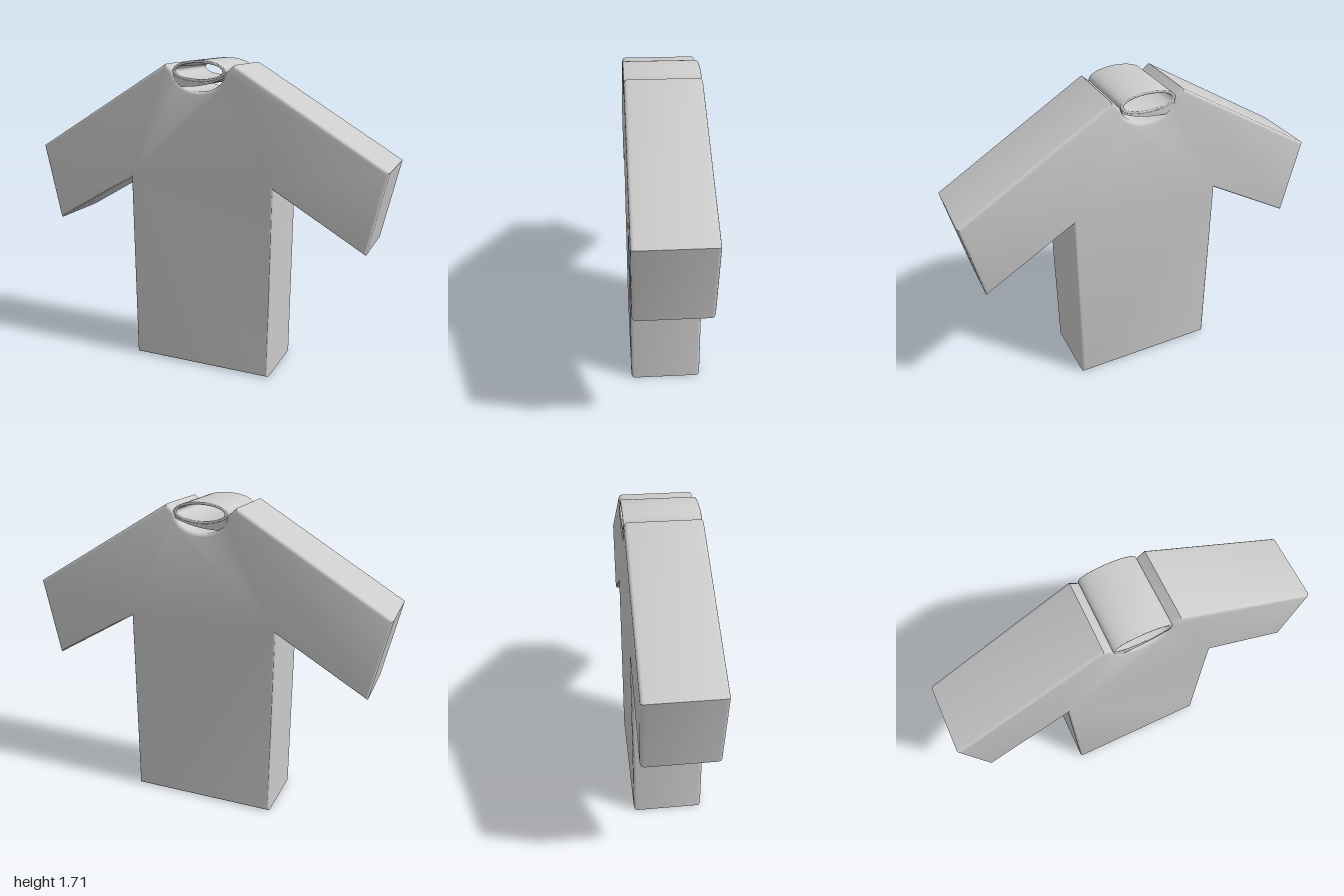
import * as THREE from 'three';
import { toCreasedNormals } from 'three/addons/utils/BufferGeometryUtils.js';

const DEPTH = 0.39;
const material = new THREE.MeshStandardMaterial({ color: 0xcccccc, side: THREE.DoubleSide });

// Extrude a front outline along z, rounding its rims inward
function slab(name, shape, bevel, depth = DEPTH) {
  const core = depth - 2 * bevel;
  const geometry = new THREE.ExtrudeGeometry(shape, {
    depth: core,
    curveSegments: 32,
    bevelEnabled: bevel > 0,
    bevelThickness: bevel,
    bevelSize: bevel,
    bevelOffset: -bevel,
    bevelSegments: 3,
  });
  geometry.translate(0, 0, -core / 2);
  const mesh = new THREE.Mesh(toCreasedNormals(geometry, 0.6), material);
  mesh.name = name;
  return mesh;
}

export function createModel() {
  const group = new THREE.Group();
  group.name = 'shirt';

  // Torso and sleeves in one outline, with a scooped neckline
  const body = new THREE.Shape();
  body.moveTo(-0.41, 0);
  body.lineTo(0.41, 0);
  body.lineTo(0.418, 1.062);
  body.lineTo(0.908, 0.775);
  body.lineTo(1, 1.205);
  body.lineTo(0.193, 1.69);
  body.lineTo(0.147, 1.65);
  body.bezierCurveTo(0.125, 1.517, -0.125, 1.517, -0.147, 1.65);
  body.lineTo(-0.193, 1.69);
  body.lineTo(-1, 1.205);
  body.lineTo(-0.908, 0.775);
  body.lineTo(-0.418, 1.062);
  body.closePath();
  group.add(slab('body', body, 0.018));

  // Band under the collar, leaving a crescent gap above the neckline
  const band = new THREE.Shape();
  band.moveTo(-0.147, 1.655);
  band.lineTo(-0.14, 1.6);
  band.lineTo(-0.1, 1.574);
  band.quadraticCurveTo(0.04, 1.574, 0.14, 1.623);
  band.lineTo(0.145, 1.655);
  band.absellipse(0, 1.656, 0.141, 0.047, 0, Math.PI, true);
  group.add(slab('neckBand', band, 0, DEPTH - 0.004));

  // Oval collar tube running front to back
  const collar = new THREE.Shape();
  collar.absellipse(0, 1.656, 0.15, 0.055, 0, Math.PI * 2, false);
  const opening = new THREE.Path();
  opening.absellipse(0, 1.656, 0.132, 0.041, 0, Math.PI * 2, true);
  collar.holes.push(opening);
  group.add(slab('collar', collar, 0.005));

  return group;
}
